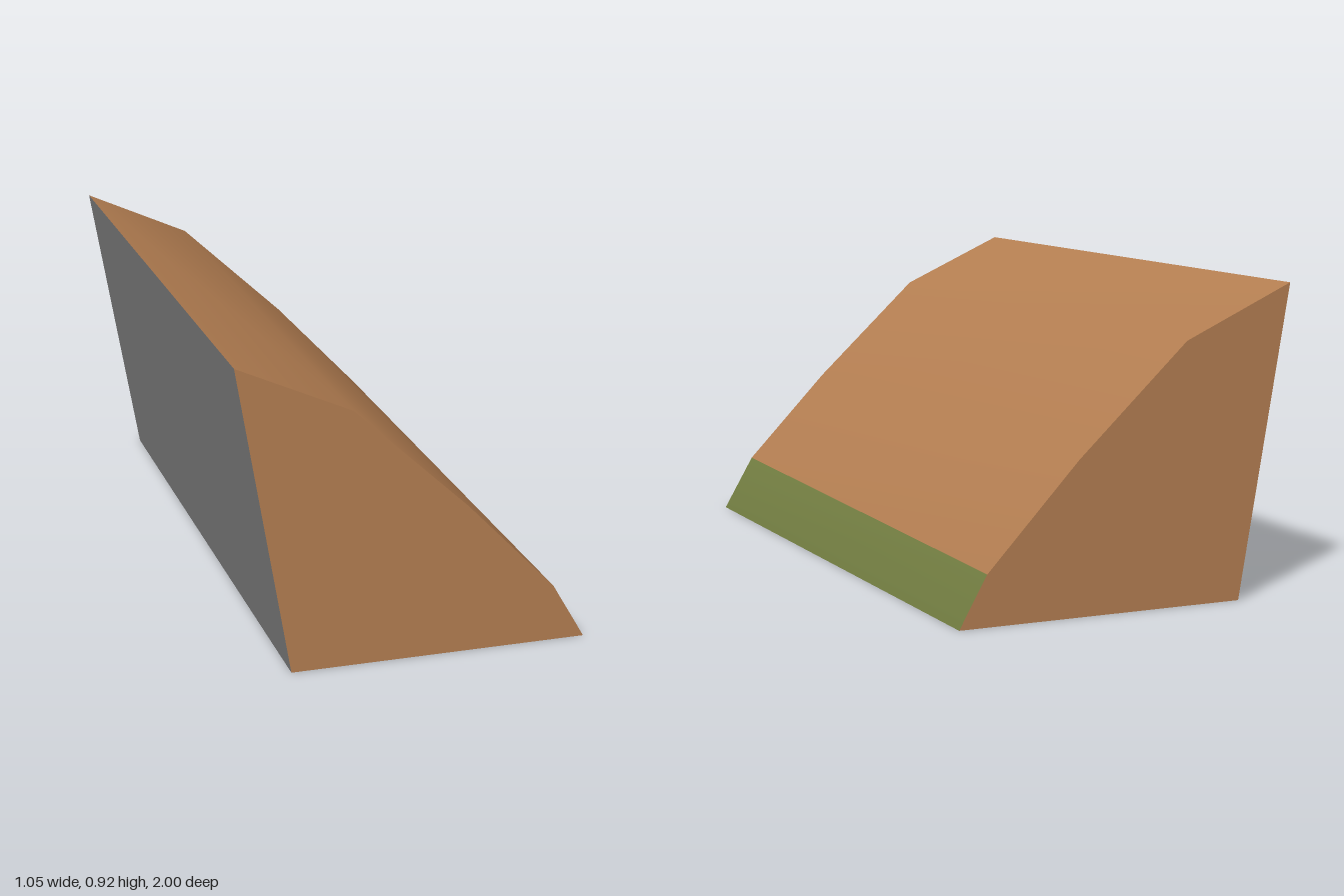
import * as THREE from 'three';

const material = (name, color) => {
  const m = new THREE.MeshStandardMaterial({ color });
  m.name = name;
  return m;
};

// Outline from the top of the wall, down the slope to the ground
const slopeProfile = (kink) => [[-0.523, 0.92], [-0.185, 0.767], [0.155, 0.45], kink, [0.523, 0]];
const FRONT = slopeProfile([0.424, 0.17]);
const BACK = slopeProfile([0.438, 0.15]);
const HEEL = [-0.366, 0];

// Surface stretched between the front (z = 1) and back (z = -1) outlines
function loft(front, back) {
  const pos = [], index = [];
  front.forEach((p, i) => pos.push(...p, 1, ...back[i], -1));
  for (let i = 0; i < front.length - 1; i++) {
    const a = i * 2;
    index.push(a, a + 2, a + 1, a + 1, a + 2, a + 3);
  }
  const g = new THREE.BufferGeometry();
  g.setAttribute('position', new THREE.Float32BufferAttribute(pos, 3));
  g.setIndex(index);
  g.computeVertexNormals();
  return g;
}

function endCap(profile, z) {
  const shape = new THREE.Shape([...profile, HEEL].map(([x, y]) => new THREE.Vector2(x, y)));
  const g = new THREE.ShapeGeometry(shape);
  if (z < 0) {
    // Reverse the winding so the cap faces backwards
    g.setIndex(Array.from(g.index.array).reverse());
    g.computeVertexNormals();
  }
  return g.translate(0, 0, z);
}

export function createModel() {
  const earth = material('earth brown', 0xb57f52);
  const grass = material('grass green', 0x727d41);
  const stone = material('plain grey', 0x858585);
  const model = new THREE.Group();
  model.name = 'embankment';
  const add = (name, geometry, mat) => {
    const mesh = new THREE.Mesh(geometry, mat);
    mesh.name = name;
    model.add(mesh);
  };

  // Smooth slope: three brown strips and a green one at the foot
  const slope = loft(FRONT, BACK);
  slope.addGroup(0, 18, 0);
  slope.addGroup(18, 6, 1);
  add('slope', slope, [earth, grass]);

  // Flat ends
  add('frontEnd', endCap(FRONT, 1), earth);
  add('backEnd', endCap(BACK, -1), earth);

  // Leaning wall and underside
  const wall = [HEEL, FRONT[0]];
  const base = [FRONT[4], HEEL];
  add('wall', loft(wall, wall), stone);
  add('base', loft(base, base), stone);
  return model;
}
